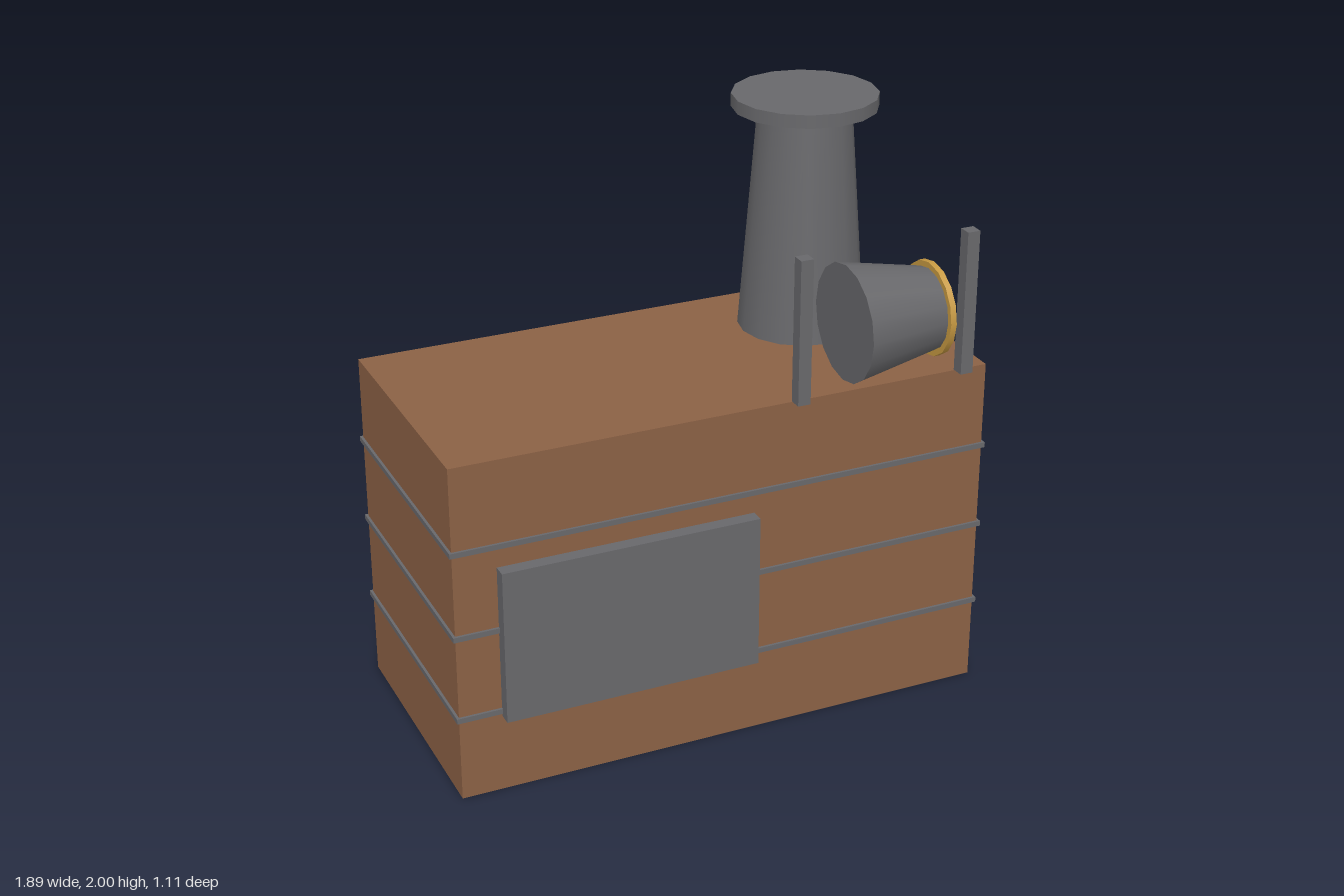
import * as THREE from 'three';

export function createModel() {
  const model = new THREE.Group();
  const flat = (name, color) => {
    const m = new THREE.MeshStandardMaterial({ color });
    m.name = name;
    return m;
  };
  const brown = flat('brown', 0x8b6145);
  const grey = flat('grey', 0x68686b);
  const gold = flat('gold', 0xc89a42);

  const add = (name, geometry, material, x, y, z) => {
    const mesh = new THREE.Mesh(geometry, material);
    mesh.name = name;
    mesh.position.set(x, y, z);
    model.add(mesh);
    return mesh;
  };
  // Box given by its lower and upper limits on each axis
  const box = (name, material, [x0, x1], [y0, y1], [z0, z1]) =>
    add(name, new THREE.BoxGeometry(x1 - x0, y1 - y0, z1 - z0), material,
      (x0 + x1) / 2, (y0 + y1) / 2, (z0 + z1) / 2);
  const drum = (top, bottom, height) => new THREE.CylinderGeometry(top, bottom, height, 16);

  // Main block
  box('body', brown, [-0.935, 0.935], [0, 1.185], [-0.545, 0.342]);

  // Thin straps running round the block
  for (const y of [0.297, 0.594, 0.891]) {
    box('strap', grey, [-0.944, 0.944], [y - 0.009, y + 0.009], [-0.554, 0.351]);
  }

  // Front panel
  box('frontPanel', grey, [-0.79, 0.094], [0.276, 0.815], [0.34, 0.389]);

  // Chimney with its cap
  add('chimney', drum(0.157, 0.216, 0.77), grey, 0.542, 1.57, -0.233);
  add('chimneyCap', drum(0.245, 0.245, 0.045), grey, 0.542, 1.9775, -0.233);

  // Posts either side of the bell
  for (const x of [0.244, 0.836]) {
    box('bellPost', grey, [x - 0.022, x + 0.022], [1.187, 1.681], [0.341, 0.386]);
  }

  // Bell lying along x, narrow end to the left with a gold disc
  add('bell', drum(0.137, 0.196, 0.30), grey, 0.542, 1.435, 0.361).rotation.z = -Math.PI / 2;
  add('bellDisc', drum(0.157, 0.157, 0.02), gold, 0.699, 1.435, 0.361).rotation.z = -Math.PI / 2;

  return model;
}
